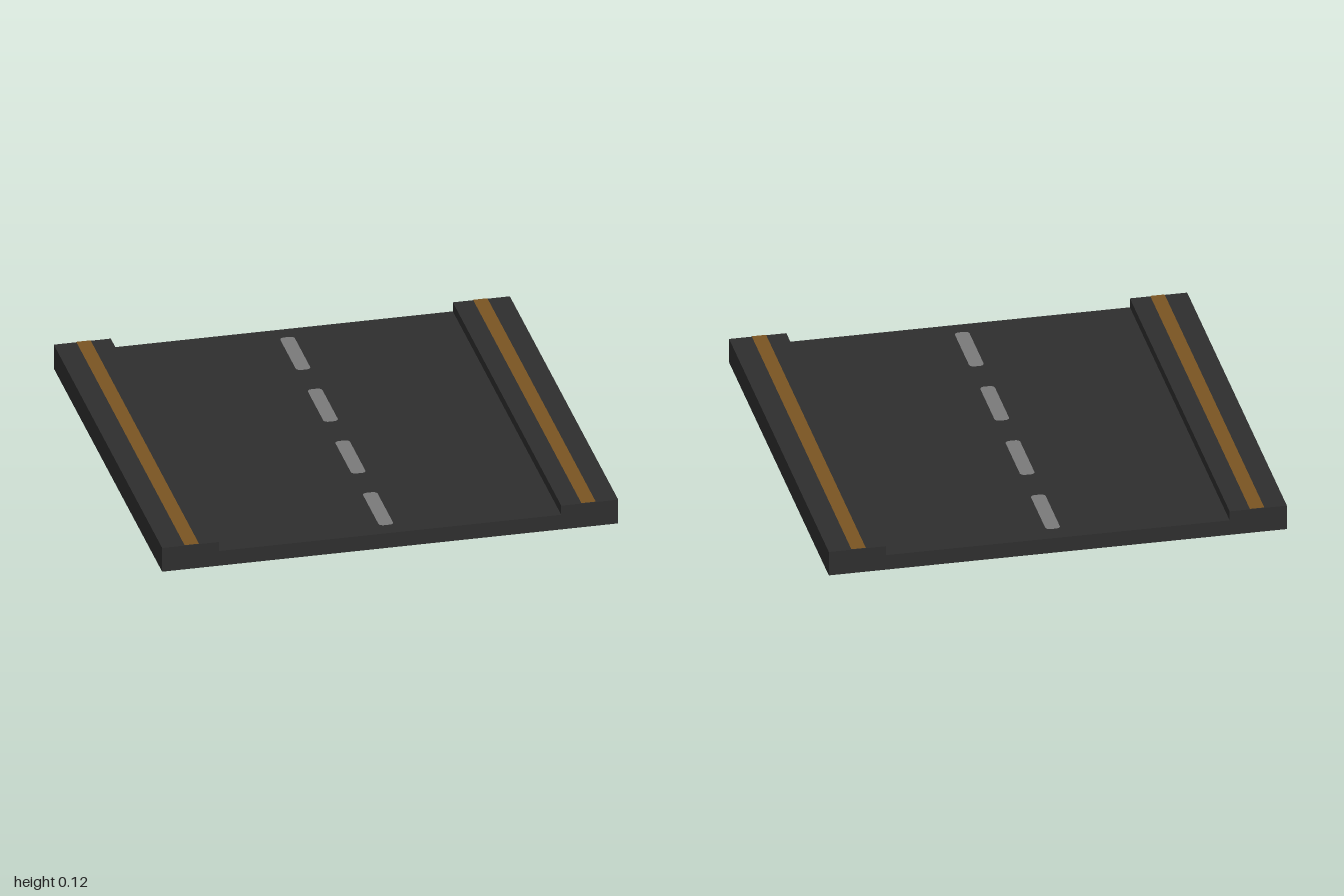
import * as THREE from 'three';

export function createModel() {
  const model = new THREE.Group();
  const mat = (name, color) => {
    const m = new THREE.MeshStandardMaterial({ color });
    m.name = name;
    return m;
  };
  const asphalt = mat('asphalt', 0x2e2e2e);
  const amber = mat('amber paint', 0x7a5522);
  const grey = mat('grey paint', 0x7a7a7a);

  const roadY = 0.07, kerbY = 0.113, kerbX = 0.75, lift = 0.002;

  const add = (name, geometry, material, x = 0, y = 0, z = 0) => {
    const mesh = new THREE.Mesh(geometry, material);
    mesh.name = name;
    mesh.position.set(x, y, z);
    model.add(mesh);
    return mesh;
  };

  // Road slab with a raised kerb along each side, one extruded section
  const section = new THREE.Shape([
    [-1, 0], [1, 0], [1, kerbY], [kerbX, kerbY],
    [kerbX, roadY], [-kerbX, roadY], [-kerbX, kerbY], [-1, kerbY],
  ].map(([x, y]) => new THREE.Vector2(x, y)));
  const slab = new THREE.ExtrudeGeometry(section, { depth: 2, bevelEnabled: false });
  add('roadSlab', slab.translate(0, 0, -1), asphalt);

  // Painted line along each kerb
  const line = new THREE.PlaneGeometry(0.063, 2).rotateX(-Math.PI / 2);
  for (const side of [-1, 1]) {
    add(side > 0 ? 'leftKerbLine' : 'rightKerbLine', line, amber, side * 0.87, kerbY + lift);
  }

  // Centre dashes with rounded corners
  const w = 0.032, h = 0.16, r = 0.02;
  const outline = new THREE.Shape();
  outline.absarc(w - r, h - r, r, 0, Math.PI / 2);
  outline.absarc(r - w, h - r, r, Math.PI / 2, Math.PI);
  outline.absarc(r - w, r - h, r, Math.PI, Math.PI * 1.5);
  outline.absarc(w - r, r - h, r, Math.PI * 1.5, Math.PI * 2);
  const dash = new THREE.ShapeGeometry(outline, 4).rotateX(-Math.PI / 2);
  for (let i = 0; i < 4; i++) {
    add('centreDash' + (i + 1), dash, grey, 0.002, roadY + lift, -0.76 + i * 0.509);
  }

  return model;
}
